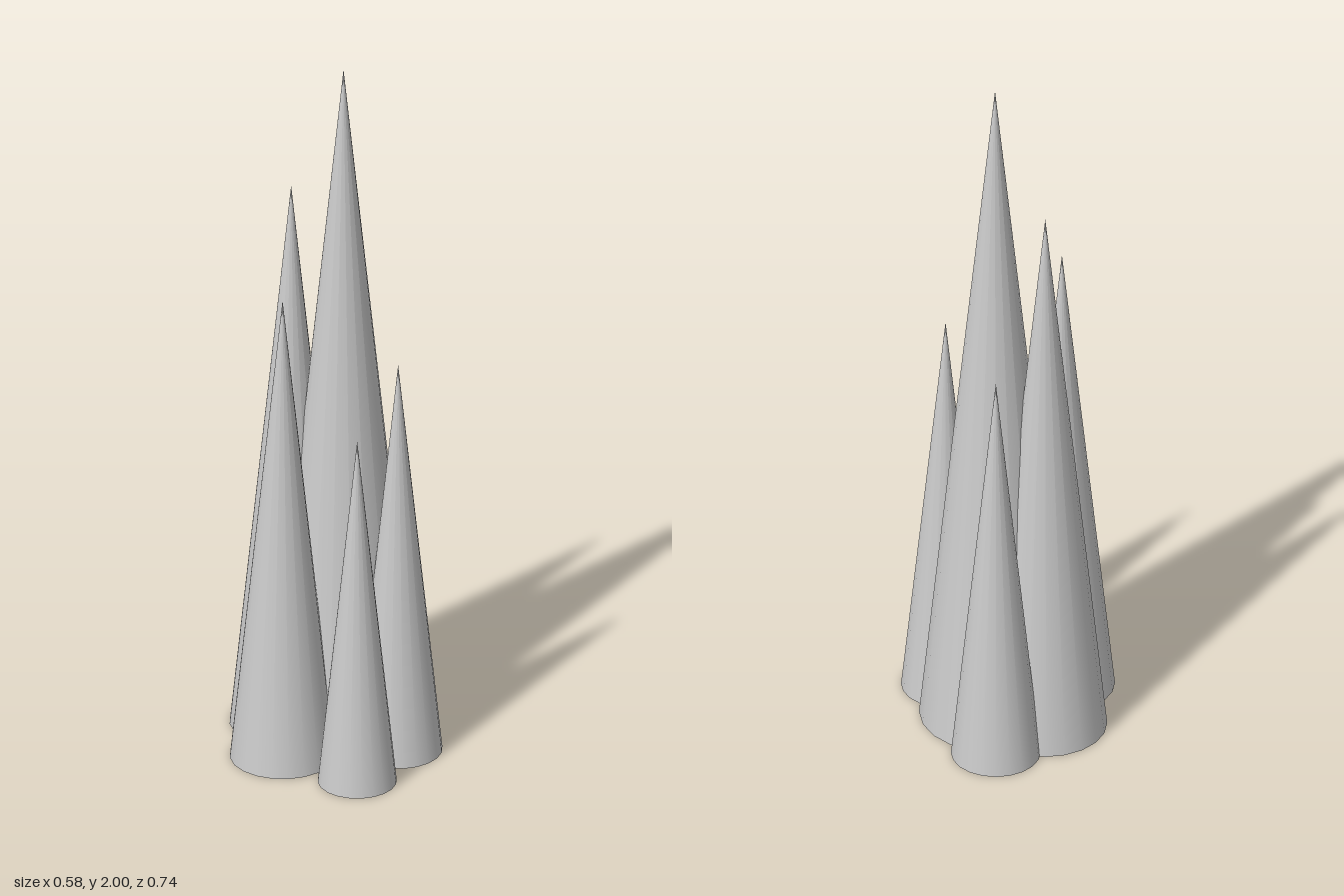
import * as THREE from 'three';

// Each spire: name, x, z, base radius, height
const SPIRES = [
  ['mainSpire', 0.035, -0.047, 0.205, 2.0],
  ['backRightSpire', -0.1, -0.107, 0.167, 1.625],
  ['frontRightSpire', -0.147, 0.09, 0.143, 1.38],
  ['frontLeftSpire', 0.167, 0.09, 0.12, 1.165],
  ['frontSpire', 0.035, 0.263, 0.107, 1.03],
  ['backSpire', 0.035, -0.25, 0.121, 1.19],
];

export function createModel() {
  const group = new THREE.Group();
  group.name = 'spireCluster';
  const material = new THREE.MeshStandardMaterial({ color: 0xcccccc });

  // Upright, closed cones standing on the ground and merging at their bases
  for (const [name, x, z, radius, height] of SPIRES) {
    const spire = new THREE.Mesh(new THREE.ConeGeometry(radius, height, 20), material);
    spire.name = name;
    spire.position.set(x, height / 2, z);
    group.add(spire);
  }
  return group;
}
